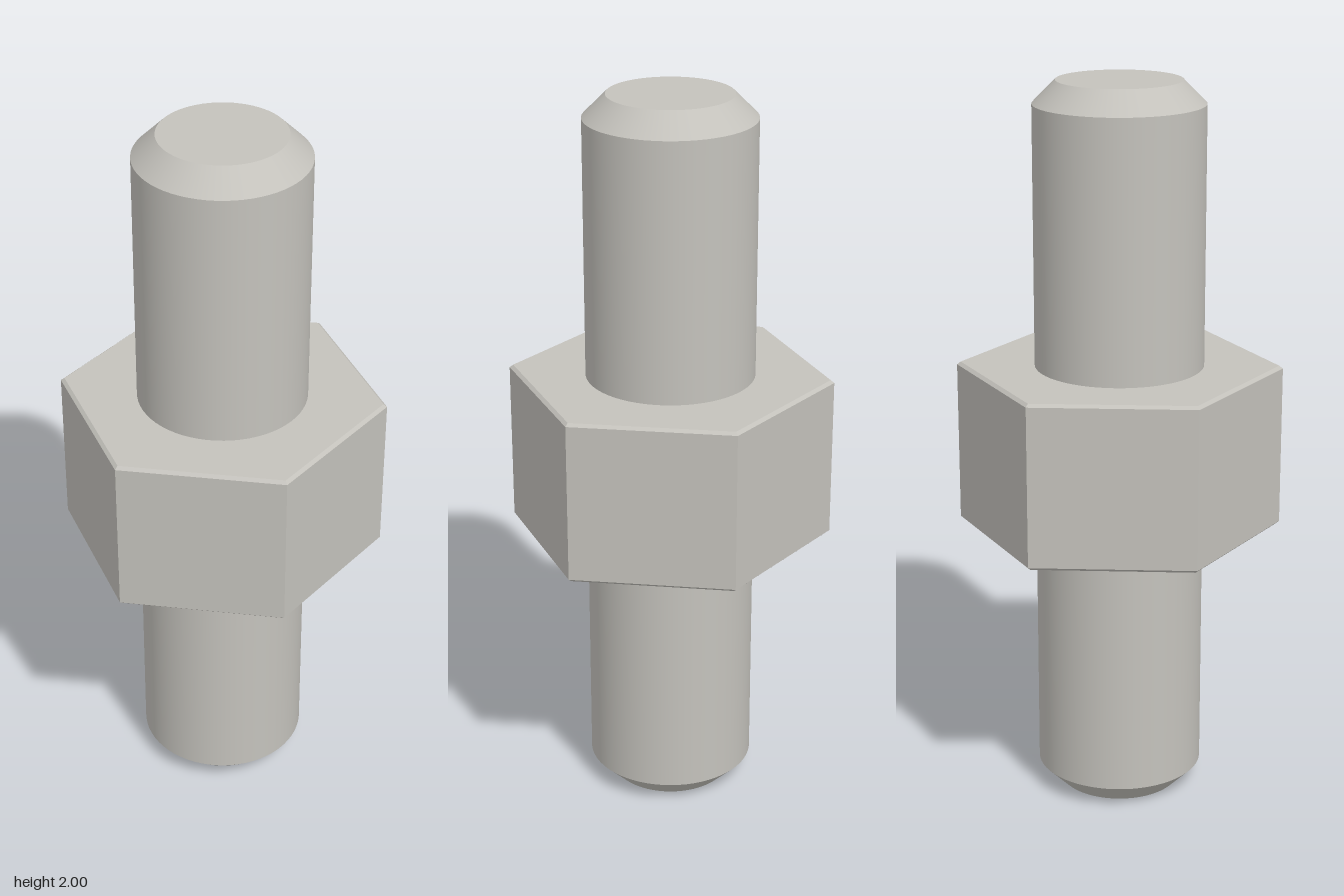
import * as THREE from 'three';
import { mergeGeometries } from 'three/addons/utils/BufferGeometryUtils.js';

// Revolve each profile segment on its own, so edges between segments stay sharp
function revolve(profile, sides) {
  const bands = [];
  for (let i = 0; i < profile.length - 1; i++) {
    const pair = [profile[i], profile[i + 1]].map(([r, y]) => new THREE.Vector2(r, y));
    bands.push(new THREE.LatheGeometry(pair, sides, Math.PI / 2));
  }
  return mergeGeometries(bands);
}

export function createModel() {
  const group = new THREE.Group();
  const steel = new THREE.MeshStandardMaterial({ color: 0xc4c2bc });
  steel.name = 'steel grey';

  // Round rod with chamfered ends
  const rod = new THREE.Mesh(
    revolve([[0, 0], [0.168, 0], [0.23, 0.062], [0.23, 1.938], [0.168, 2], [0, 2]], 64),
    steel
  );
  rod.name = 'rod';

  // Hexagonal collar with corners on the x axis and fine bevels, faceted
  const hex = revolve(
    [[0.2, 0.774], [0.433, 0.774], [0.443, 0.782], [0.443, 1.222], [0.433, 1.23], [0.2, 1.23]], 6
  ).toNonIndexed();
  hex.computeVertexNormals();
  const collar = new THREE.Mesh(hex, steel);
  collar.name = 'hexCollar';

  group.add(rod, collar);
  return group;
}
